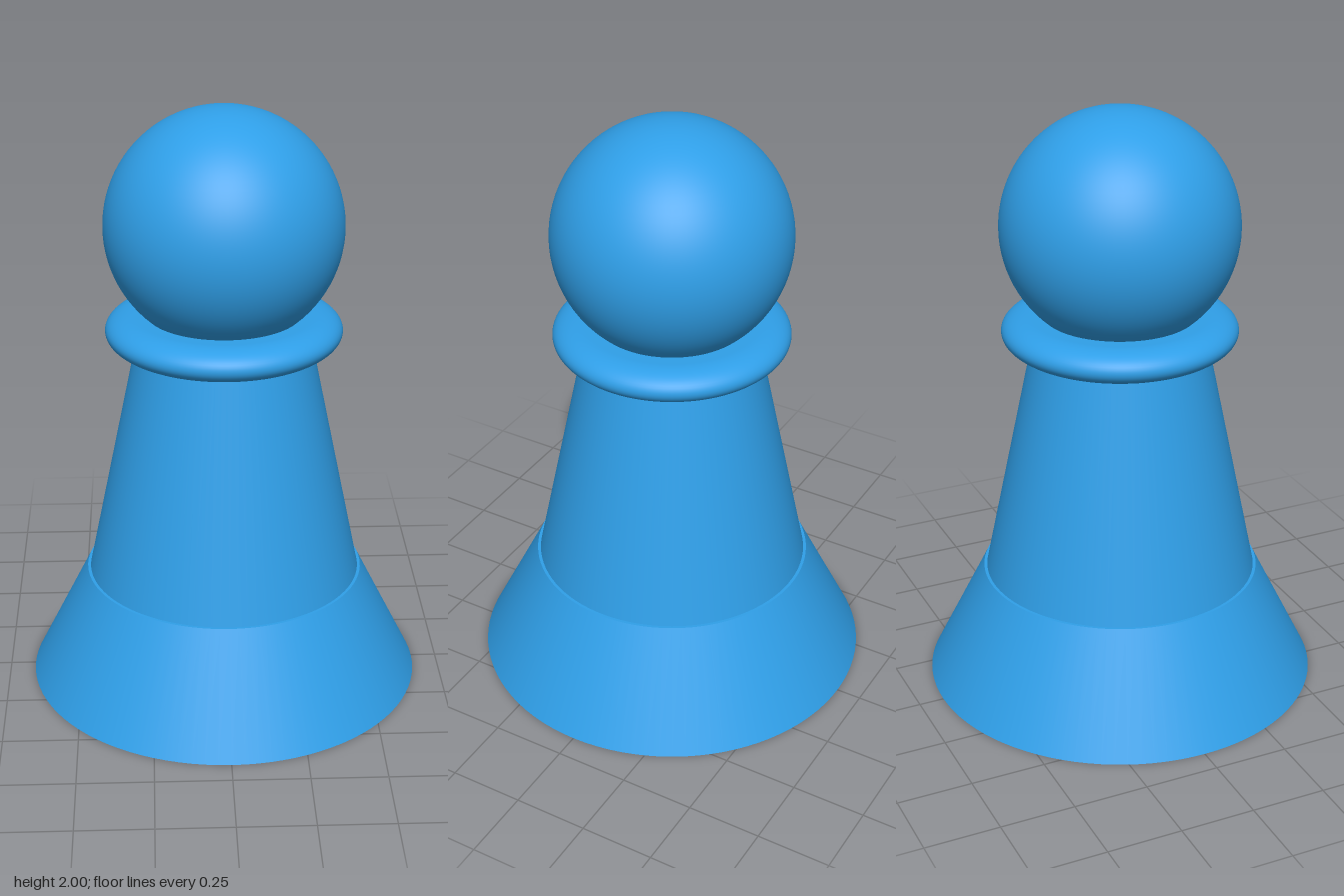
import * as THREE from 'three';

const SEGMENTS = 96;

export function createModel() {
  const group = new THREE.Group();
  const material = new THREE.MeshStandardMaterial({ color: 0x2f9fe8 });

  const add = (name, geometry, y) => {
    const mesh = new THREE.Mesh(geometry, material);
    mesh.name = name;
    mesh.position.y = y;
    group.add(mesh);
  };

  // Tapered section standing between two heights
  const frustum = (name, bottomRadius, topRadius, y0, y1) =>
    add(name, new THREE.CylinderGeometry(topRadius, bottomRadius, y1 - y0, SEGMENTS), (y0 + y1) / 2);

  frustum('base', 0.665, 0.47, 0, 0.392);
  frustum('body', 0.46, 0.281, 0.392, 1.257);

  // Collar: flat disc with an elliptical rim
  const rim = [new THREE.Vector2(0, -0.057)];
  for (let i = 0; i <= 24; i++) {
    const a = -Math.PI / 2 + (Math.PI * i) / 24;
    rim.push(new THREE.Vector2(0.295 + 0.096 * Math.cos(a), 0.057 * Math.sin(a)));
  }
  rim.push(new THREE.Vector2(0, 0.057));
  add('collar', new THREE.LatheGeometry(rim, SEGMENTS), 1.257);

  add('head', new THREE.SphereGeometry(0.391, SEGMENTS, 48), 1.609);

  return group;
}
